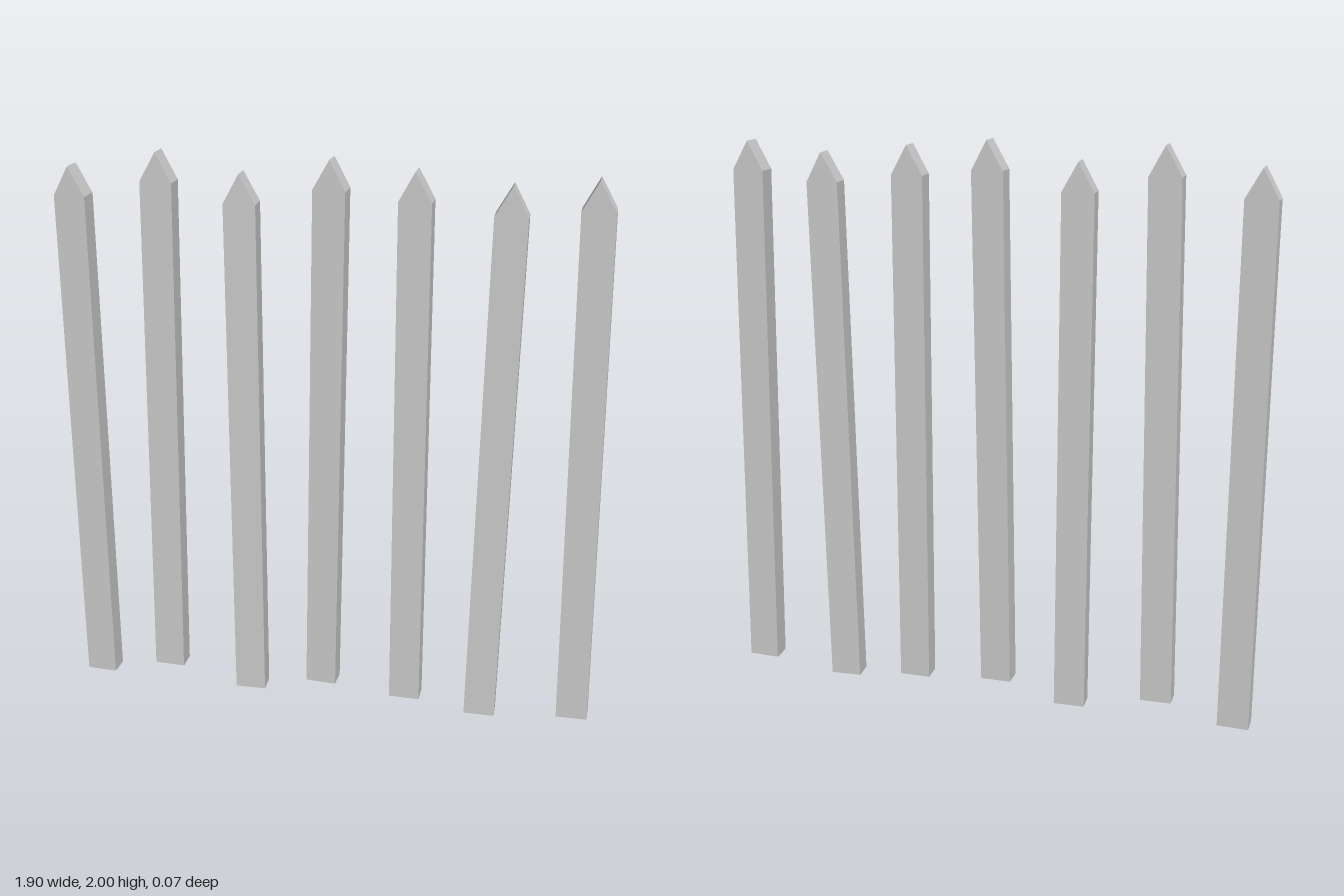
import * as THREE from 'three';

const WIDTH = 0.11, DEPTH = 0.071, SHOULDER = 1.84, HEIGHT = 1.94;

// Pointed board standing on y = 0, centred in x and z
function picketGeometry() {
  const w = WIDTH / 2;
  const outline = new THREE.Shape([
    new THREE.Vector2(-w, 0),
    new THREE.Vector2(w, 0),
    new THREE.Vector2(w, SHOULDER),
    new THREE.Vector2(0, HEIGHT),
    new THREE.Vector2(-w, SHOULDER),
  ]);
  return new THREE.ExtrudeGeometry(outline, { depth: DEPTH, bevelEnabled: false })
    .translate(0, 0, -DEPTH / 2);
}

// Each picket: foot x, foot y, sideways lean, twist about its length
const PICKETS = [
  [-0.895, 0, 0, -0.035],
  [-0.62, 0.06, 0.017, 0],
  [-0.305, 0, 0, 0.035],
  [-0.032, 0.06, 0.017, -0.03],
  [0.28, 0.035, 0, 0],
  [0.556, 0.002, 0.017, 0.035],
  [0.89, 0.033, -0.017, -0.005],
];

export function createModel() {
  const fence = new THREE.Group();
  fence.name = 'picketRow';
  const material = new THREE.MeshStandardMaterial({ color: 0xcccccc, flatShading: true });
  const geometry = picketGeometry();

  PICKETS.forEach(([x, y, lean, twist], i) => {
    const picket = new THREE.Mesh(geometry, material);
    picket.name = `picket${i + 1}`;
    picket.position.set(x, y, 0);
    picket.rotation.order = 'ZYX'; // twist first, then lean
    picket.rotation.set(0, twist, -lean);
    fence.add(picket);
  });
  return fence;
}
